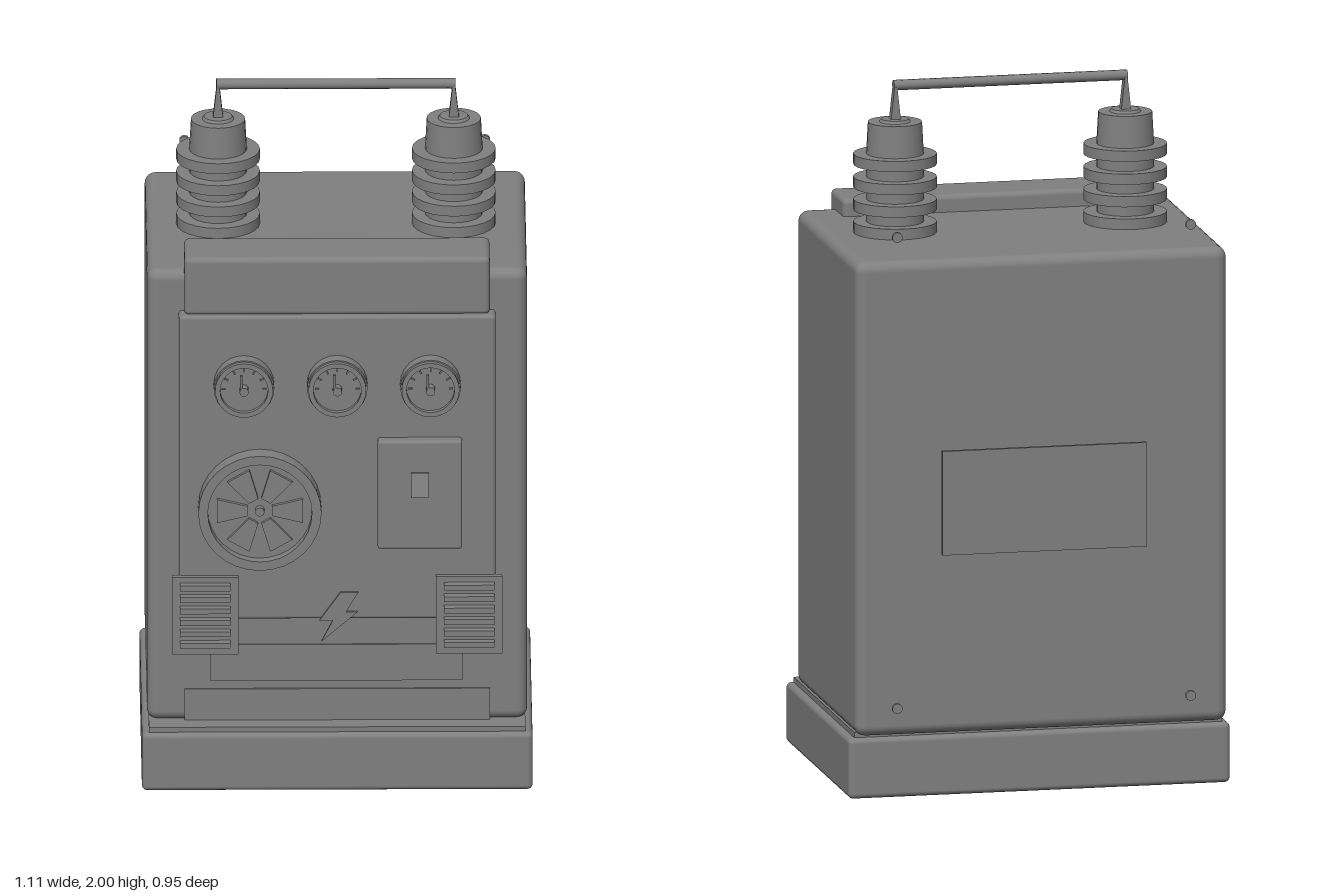
import * as THREE from 'three';
import { RoundedBoxGeometry } from 'three/addons/geometries/RoundedBoxGeometry.js';

export function createModel() {
  const root = new THREE.Group();
  const grey = new THREE.MeshStandardMaterial({ color: 0x808080 });
  grey.name = 'mid grey';

  const add = (parent, name, geo, x = 0, y = 0, z = 0) => {
    const m = new THREE.Mesh(geo, grey);
    m.name = name;
    m.position.set(x, y, z);
    parent.add(m);
    return m;
  };
  const group = (name, x, y, z) => {
    const g = new THREE.Group();
    g.name = name;
    g.position.set(x, y, z);
    root.add(g);
    return g;
  };
  // Box from its extents; rounded when r is given
  const box = (parent, name, x0, x1, y0, y1, z0, z1, r = 0) => {
    const s = [x1 - x0, y1 - y0, z1 - z0];
    const geo = r ? new RoundedBoxGeometry(...s, 3, r) : new THREE.BoxGeometry(...s);
    return add(parent, name, geo, (x0 + x1) / 2, (y0 + y1) / 2, (z0 + z1) / 2);
  };
  // Cylinder whose axis points along z, spanning z0..z1
  const disc = (parent, name, r, z0, z1, x = 0, y = 0, seg = 24) => {
    const geo = new THREE.CylinderGeometry(r, r, z1 - z0, seg).rotateX(Math.PI / 2);
    return add(parent, name, geo, x, y, (z0 + z1) / 2);
  };
  const plate = (points, depth) => new THREE.ExtrudeGeometry(
    new THREE.Shape(points.map(p => new THREE.Vector2(...p))), { depth, bevelEnabled: false });
  // Lathed ring around the z axis with a square section
  const ring = (parent, name, r0, r1, z0, z1) => {
    const s = new THREE.Shape().absarc(0, 0, r1, 0, Math.PI * 2);
    s.holes.push(new THREE.Path().absarc(0, 0, r0, 0, Math.PI * 2, true));
    return add(parent, name, new THREE.ExtrudeGeometry(s,
      { depth: z1 - z0, bevelEnabled: false, curveSegments: 16 }), 0, 0, z0);
  };

  // Cabinet
  box(root, 'base', -0.555, 0.555, 0, 0.175, -0.41, 0.425, 0.015);
  box(root, 'plinth', -0.535, 0.535, 0.16, 0.19, -0.39, 0.41);
  box(root, 'body', -0.54, 0.54, 0.185, 1.56, -0.44, 0.35, 0.03);
  box(root, 'frontPanel', -0.45, 0.45, 0.515, 1.44, 0.33, 0.4, 0.01);
  box(root, 'hood', -0.434, 0.434, 1.435, 1.61, 0.213, 0.383, 0.015);
  box(root, 'lowerPlate', -0.36, 0.357, 0.31, 0.42, 0.345, 0.355);
  box(root, 'footPlate', -0.434, 0.434, 0.185, 0.285, 0.345, 0.355);

  // Gauges
  for (const x of [-0.265, 0, 0.265]) {
    const g = group('gauge', x, 1.235, 0);
    disc(g, 'gaugeCase', 0.086, 0.39, 0.44);
    ring(g, 'gaugeRim', 0.068, 0.082, 0.44, 0.455);
    for (let i = 0; i < 7; i++) {
      const a = Math.PI * i / 6;
      const t = add(g, 'gaugeTick', new THREE.BoxGeometry(0.012, 0.004, 0.004),
        0.058 * Math.cos(a), 0.058 * Math.sin(a), 0.442);
      t.rotation.z = a;
    }
    disc(g, 'needleHub', 0.013, 0.44, 0.468, 0, 0, 12);
    const n = box(g, 'needle', -0.012, -0.004, -0.005, 0.055, 0.464, 0.47);
    n.rotation.x = 0.2;
  }

  // Round fan
  const fan = group('fan', -0.22, 0.86, 0);
  disc(fan, 'fanBack', 0.17, 0.39, 0.425, 0, 0, 32);
  ring(fan, 'fanRim', 0.148, 0.175, 0.4, 0.455);
  for (let i = 0; i < 6; i++) {
    const b = add(fan, 'fanBlade',
      plate([[0.035, -0.015], [0.122, -0.036], [0.122, 0.036], [0.035, 0.015]], 0.012), 0, 0, 0.425);
    b.rotation.z = i * Math.PI / 3;
  }
  disc(fan, 'fanHub', 0.013, 0.42, 0.445, 0, 0, 12);

  // Switch
  box(root, 'switchPlate', 0.115, 0.355, 0.74, 1.07, 0.39, 0.432, 0.008);
  const toggle = box(root, 'switchToggle', 0.21, 0.26, 0.905, 0.975, 0.425, 0.452);
  toggle.rotation.x = -0.25;

  // Louvred vents at the front corners
  for (const s of [-1, 1]) {
    const v = group('frontVent', s * 0.375, 0, 0);
    box(v, 'ventPlate', -0.094, 0.094, 0.415, 0.65, 0.398, 0.416);
    for (let i = 0; i < 6; i++) {
      const y = 0.45 + i * 0.035;
      box(v, 'ventSlat', -0.072, 0.072, y - 0.008, y + 0.008, 0.41, 0.44);
    }
  }

  // Warning sign on the front
  add(root, 'lightningSign', plate([[0.01, 0.6], [0.06, 0.6], [0.025, 0.54], [0.058, 0.54],
    [-0.045, 0.45], [-0.012, 0.515], [-0.05, 0.515]], 0.009), 0, 0, 0.4);

  // Insulators with spikes, joined by a rod
  const profile = [[0, 1.55], [0.08, 1.55]];
  for (const y of [1.56, 1.625, 1.69, 1.757]) {
    profile.push([0.082, y], [0.119, y], [0.119, y + 0.031], [0.082, y + 0.031]);
  }
  profile.push([0.077, 1.88], [0.045, 1.88], [0.04, 1.888], [0, 1.888]);
  // Repeat corner points so each band keeps a sharp edge
  const sharp = profile.flatMap(p => [new THREE.Vector2(...p), new THREE.Vector2(...p)]);
  for (const s of [-1, 1]) {
    const g = group('insulator', s * 0.335, 0, -0.02);
    add(g, 'insulatorStack', new THREE.LatheGeometry(sharp, 24));
    add(g, 'spike', plate([[-0.015, 1.88], [0.015, 1.88], [0.004, 1.98], [-0.004, 1.98]], 0.028),
      0, 0, -0.014);
  }
  add(root, 'rod', new THREE.CylinderGeometry(0.015, 0.015, 0.68, 10).rotateZ(Math.PI / 2),
    0, 1.985, -0.02);

  // Rear grille and bolts
  box(root, 'rearPlate', -0.297, 0.297, 0.71, 1.012, -0.475, -0.463);
  for (let i = 0; i < 9; i++) {
    const y = 0.728 + i * 0.033;
    box(root, 'rearSlat', -0.275, 0.275, y - 0.009, y + 0.009, -0.465, -0.435);
  }
  for (const x of [-0.427, 0.427]) {
    for (const y of [0.27, 1.637]) disc(root, 'rearBolt', 0.015, -0.471, -0.459, x, y, 10);
  }
  return root;
}
